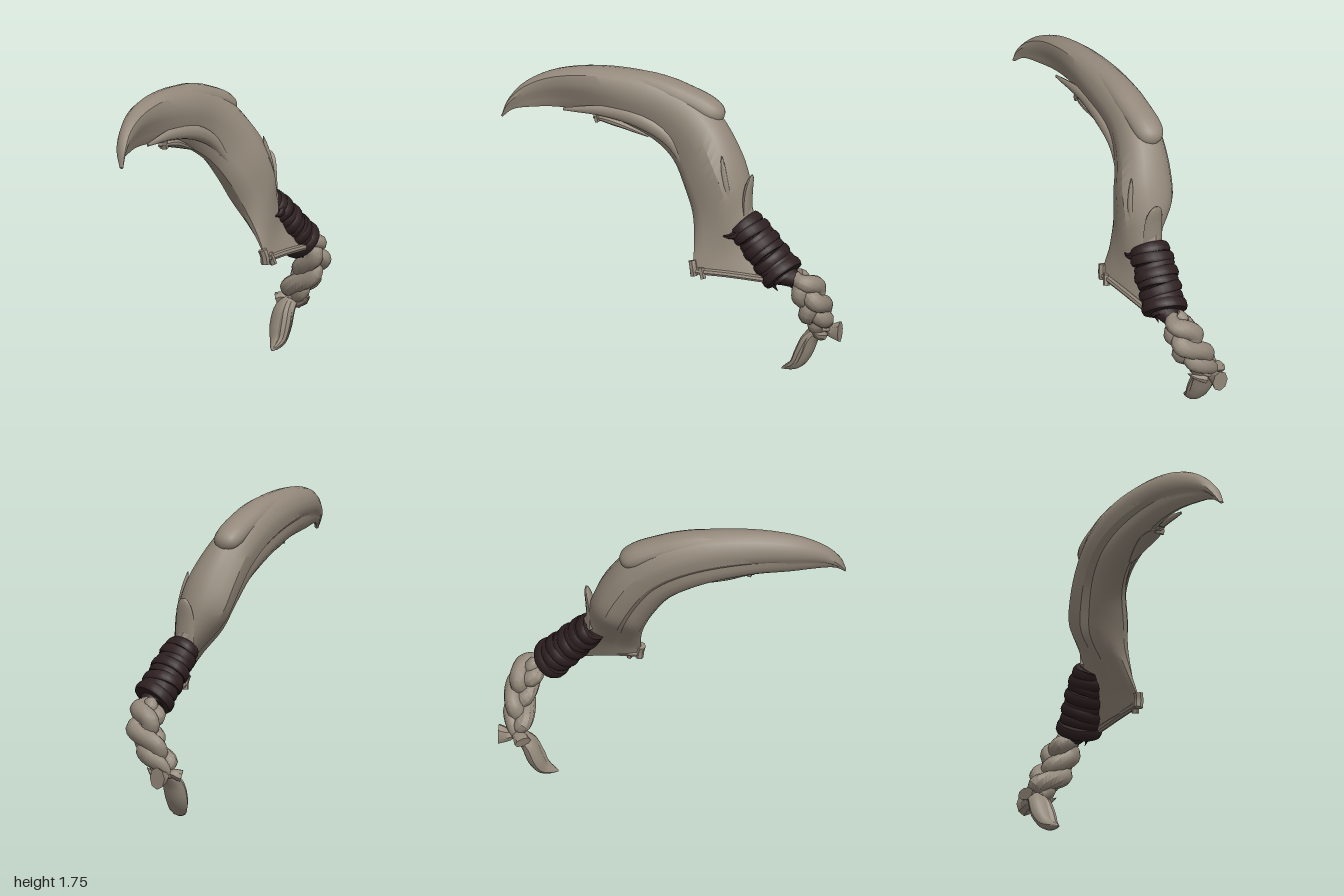
import * as THREE from 'three';
import { toCreasedNormals } from 'three/addons/utils/BufferGeometryUtils.js';

const V = (x, y, z) => new THREE.Vector3(x, y, z);
const curve = (pts) => new THREE.CatmullRomCurve3(pts.map((p) => V(...p)), false, 'catmullrom', 0.5);

// Closed solid through a list of rings; turned outward by its signed volume
function loft(rings, crease = 0.7) {
  const n = rings[0].length, pos = [], idx = [];
  const all = rings.flat();
  const mid = (r) => r.reduce((s, p) => s.add(p), V(0, 0, 0)).divideScalar(n);
  const a = all.length, b = a + 1;
  all.push(mid(rings[0]), mid(rings[rings.length - 1]));
  all.forEach((p) => pos.push(p.x, p.y, p.z));
  for (let i = 0; i < rings.length - 1; i++) {
    for (let j = 0; j < n; j++) {
      const p = i * n + j, q = i * n + (j + 1) % n;
      idx.push(p, q, q + n, p, q + n, p + n);
    }
  }
  const last = (rings.length - 1) * n;
  for (let j = 0; j < n; j++) {
    const k = (j + 1) % n;
    idx.push(a, k, j, b, last + j, last + k);
  }
  let volume = 0;
  for (let i = 0; i < idx.length; i += 3) {
    volume += all[idx[i]].dot(V(0, 0, 0).crossVectors(all[idx[i + 1]], all[idx[i + 2]]));
  }
  if (volume < 0) idx.reverse();
  const g = new THREE.BufferGeometry();
  g.setAttribute('position', new THREE.Float32BufferAttribute(pos, 3));
  g.setIndex(idx);
  return toCreasedNormals(g, crease);
}

// Tapered strand: oval section, width and depth given by profile(t) = [side, normal]
function strand(path, profile, normal = V(0, 0, 1), steps = 14, sides = 10) {
  const rings = [];
  for (let i = 0; i <= steps; i++) {
    const t = i / steps, c = path.getPoint(t), tan = path.getTangent(t);
    const side = V(0, 0, 0).crossVectors(tan, normal).normalize();
    const up = V(0, 0, 0).crossVectors(side, tan).normalize();
    const [s, d] = profile(t);
    rings.push(Array.from({ length: sides }, (_, j) => {
      const a = j / sides * Math.PI * 2;
      return c.clone().addScaledVector(side, s * Math.cos(a)).addScaledVector(up, d * Math.sin(a));
    }));
  }
  return loft(rings);
}

export function createModel() {
  const group = new THREE.Group();
  const horn = new THREE.MeshStandardMaterial({ color: 0x93887a });
  horn.name = 'horn';
  const leather = new THREE.MeshStandardMaterial({ color: 0x2d1f20 });
  leather.name = 'dark leather';
  const add = (name, geo, mat = horn, parent = group) => {
    const m = new THREE.Mesh(geo, mat);
    m.name = name;
    parent.add(m);
    return m;
  };

  // Blade stations: outer x, y, z, inner x, y, z, half thickness
  const stations = [
    [-1, 1.43, 0.05, -0.995, 1.42, 0.05, 0.014],
    [-0.965, 1.53, 0.02, -0.94, 1.463, 0.025, 0.038],
    [-0.87, 1.635, -0.02, -0.85, 1.476, -0.005, 0.052],
    [-0.7, 1.715, -0.06, -0.7, 1.478, -0.05, 0.075],
    [-0.45, 1.752, -0.09, -0.5, 1.462, -0.08, 0.097],
    [-0.15, 1.737, -0.11, -0.28, 1.41, -0.1, 0.115],
    [0.1, 1.658, -0.115, -0.12, 1.345, -0.1, 0.124],
    [0.27, 1.53, -0.09, 0.01, 1.25, -0.07, 0.142],
    [0.39, 1.36, -0.055, 0.1, 1.11, -0.015, 0.166],
    [0.46, 1.2, -0.035, 0.16, 0.98, 0.03, 0.158],
    [0.5, 1.04, 0.01, 0.19, 0.85, 0.105, 0.095],
    [0.58, 0.86, 0.06, 0.2, 0.73, 0.17, 0.035],
    [0.62, 0.67, 0.15, 0.2, 0.665, 0.19, 0.015],
  ];
  const outer = curve(stations.map((s) => s.slice(0, 3)));
  const inner = curve(stations.map((s) => s.slice(3, 6)));
  const half = curve(stations.map((s) => [s[6], 0, 0]));
  // Section: distance from outer to inner edge, depth, and depth near the hollowed tip
  const section = [
    [0, 0, 0], [0.03, 0.38, 0.42], [0.12, 0.72, 0.75], [0.3, 0.98, 0.8], [0.5, 0.95, 0.55],
    [0.66, 0.8, 0.32], [0.8, 0.68, 0.14], [0.93, 0.5, 0.02], [1, 0.25, -0.1], [1, -0.06, -0.25],
    [0.94, -0.36, -0.4], [0.84, -0.58, -0.58], [0.74, -0.66, -0.66], [0.64, -0.66, -0.7],
    [0.56, -0.9, -0.9], [0.42, -0.98, -0.98], [0.28, -0.98, -0.98], [0.12, -0.72, -0.72], [0.03, -0.38, -0.38],
  ];
  const rings = [];
  for (let i = 0; i <= 48; i++) {
    const t = i / 48, o = outer.getPoint(t), n = inner.getPoint(t), h = half.getPoint(t).x;
    const tip = 1 - THREE.MathUtils.smoothstep(t, 0.24, 0.42);
    rings.push(section.map(([u, w, wTip]) => {
      const p = o.clone().lerp(n, u);
      p.z += h * THREE.MathUtils.lerp(w, wTip, tip);
      return p;
    }));
  }
  add('blade', loft(rings, 0.55));

  // Raised shell along the spine, ending in a rounded step
  add('spineShell', strand(
    curve([[-0.72, 1.65, -0.06], [-0.45, 1.69, -0.09], [-0.15, 1.678, -0.11], [0.1, 1.605, -0.115], [0.22, 1.55, -0.115], [0.285, 1.508, -0.11]]),
    (t) => {
      const end = Math.sqrt(1 - Math.pow(Math.max(0, (t - 0.7) / 0.302), 2));
      const r = end * (0.5 + 0.5 * Math.min(1, t * 2));
      return [0.064 * r + 0.004, 0.085 * r + 0.005];
    }, V(0, 0, 1), 32, 16));

  // Folds on the front face and a ragged ledge on the inner edge
  const taper = (s, d) => (t) => { const r = Math.sin(Math.PI * (0.06 + 0.88 * t)); return [s * r, d * r]; };
  add('frontFold', strand(curve([[-0.65, 1.485, -0.02], [-0.4, 1.5, -0.03], [-0.18, 1.47, -0.02], [0, 1.37, -0.01], [0.12, 1.2, 0.03]]), taper(0.045, 0.032)));
  add('innerLedge', strand(curve([[-0.48, 1.44, -0.06], [-0.4, 1.447, -0.06], [-0.3, 1.42, -0.07], [-0.15, 1.36, -0.07]]), taper(0.028, 0.05)));
  add('ledgeKnob', strand(curve([[-0.46, 1.465, -0.05], [-0.45, 1.425, -0.05]]), () => [0.018, 0.03], V(0, 0, 1), 2, 6));

  // Upright splinters beside the wrap
  const leaf = (s, d) => (t) => { const r = Math.sqrt(1 - Math.pow(t * 0.99, 3)); return [s * r, d * r]; };
  add('outerSplinter', strand(curve([[0.475, 0.97, 0.02], [0.478, 1.12, 0.015], [0.5, 1.235, 0.01]]), leaf(0.064, 0.026), V(1, 0, 0)));
  add('frontSplinter', strand(curve([[0.41, 1.0, 0.09], [0.375, 1.18, 0.107], [0.34, 1.36, 0.08]]), leaf(0.02, 0.018)));

  // Rolled rim and knobs on the lower edge of the plate
  add('plateRim', strand(curve([[0.2, 0.67, 0.19], [0.4, 0.672, 0.18], [0.63, 0.66, 0.16]]), () => [0.02, 0.022], V(0, 0, 1), 8, 8));
  add('plateKnob', strand(curve([[0.195, 0.73, 0.18], [0.205, 0.69, 0.19], [0.21, 0.645, 0.19]]), () => [0.024, 0.028], V(0, 0, 1), 5, 7));
  add('plateKnob', strand(curve([[0.25, 0.7, 0.19], [0.27, 0.635, 0.205]]), () => [0.018, 0.022], V(0, 0, 1), 3, 6));

  // Leather wrap: overlapping, slightly tilted bands around a core, flaring at the lower end
  const wrap = new THREE.Group();
  wrap.name = 'wrap';
  const top = V(0.468, 0.94, 0.035), end = V(0.71, 0.672, 0.08);
  wrap.position.copy(top);
  wrap.quaternion.setFromUnitVectors(V(0, 1, 0), end.clone().sub(top).normalize());
  group.add(wrap);
  const length = top.distanceTo(end);
  const radii = [0.09, 0.101, 0.098, 0.108, 0.102, 0.112, 0.108, 0.12];
  const core = add('wrapCore', new THREE.CylinderGeometry(0.07, 0.088, length + 0.04, 20), leather, wrap);
  core.position.y = length / 2 + 0.01;
  core.scale.z = 1.2;
  radii.forEach((r, i) => {
    const t = i / (radii.length - 1);
    const profile = [[0.06, -0.034], [r - 0.008, -0.03], [r, -0.014], [r + 0.002, 0.012], [r - 0.005, 0.03], [0.06, 0.034]]
      .map((p) => new THREE.Vector2(...p));
    const band = add('wrapBand', toCreasedNormals(new THREE.LatheGeometry(profile, 24), 0.6), leather, wrap);
    band.position.y = 0.015 + t * (length - 0.03);
    band.rotation.set(0.12 * Math.sin(i * 2.1), 0, 0.14 * Math.cos(i * 1.7));
    band.scale.z = 1.27 - 0.17 * t;
  });
  // Loose ends of the wrap
  const point = (s, d) => (t) => [s * (1.03 - t), d * (1.03 - t)];
  add('wrapEnd', strand(curve([[0.47, 0.92, 0.12], [0.415, 0.893, 0.145], [0.355, 0.89, 0.14]]), point(0.033, 0.028), V(0, 0, 1), 5, 6), leather);
  add('wrapEnd', strand(curve([[0.63, 0.65, 0.1], [0.66, 0.61, 0.11], [0.69, 0.575, 0.11]]), point(0.03, 0.02), V(0, 0, 1), 5, 6), leather);
  add('wrapNeck', strand(curve([[0.7, 0.68, 0.08], [0.79, 0.645, 0.08]]), (t) => [0.085 - 0.04 * t, 0.09 - 0.04 * t], V(0, 0, 1), 4, 12), leather);

  // Three-strand braid hanging from the wrap
  const centre = curve([[0.78, 0.665, 0.075], [0.842, 0.59, 0.045], [0.876, 0.49, 0.03], [0.882, 0.39, -0.04], [0.89, 0.27, -0.11]]);
  for (let k = 0; k < 3; k++) {
    const pts = [];
    for (let i = 0; i <= 24; i++) {
      const t = i / 24, c = centre.getPoint(t);
      const a = t * Math.PI * 2.1 + k * Math.PI * 2 / 3;
      const s = Math.min(1, 0.45 + t * 2.5, 0.3 + (1 - t) * 4);
      pts.push([c.x + 0.042 * s * Math.sin(a), c.y + 0.02 * s * Math.sin(a), c.z + 0.05 * s * Math.sin(2 * a)]);
    }
    add('braidStrand', strand(curve(pts), (t) => {
      const r = Math.min(0.052, 0.034 + t * 0.1, 0.028 + (1 - t) * 0.15);
      return [r, r * 1.08];
    }, V(0, 0, 1), 36, 10));
  }

  // Tie, flared tufts and curled tail at the end of the braid
  const tie = add('braidTie', new THREE.TorusGeometry(0.04, 0.016, 8, 16));
  tie.position.set(0.888, 0.28, -0.105);
  tie.rotation.x = Math.PI / 2 - 0.3;
  const flare = (w) => (t) => [0.02 + w * t, 0.03 + 0.02 * t];
  add('tuft', strand(curve([[0.89, 0.275, -0.11], [0.94, 0.265, -0.12], [0.992, 0.265, -0.12]]), flare(0.045), V(0, 0, 1), 5, 8));
  add('tuft', strand(curve([[0.89, 0.27, -0.11], [0.87, 0.28, -0.15], [0.845, 0.265, -0.195]]), flare(0.015), V(1, 0, 0), 5, 8));
  add('tuft', strand(curve([[0.89, 0.25, -0.08], [0.88, 0.27, -0.02], [0.87, 0.3, 0.025]]), point(0.035, 0.04), V(1, 0, 0), 5, 8));
  const tail = [[0.89, 0.285, -0.11], [0.82, 0.215, -0.12], [0.78, 0.12, -0.12], [0.735, 0.045, -0.105], [0.65, 0.008, -0.085]];
  const swell = (s, d) => (t) => { const r = Math.pow(Math.sin(Math.PI * (0.16 + 0.83 * t)), 0.75); return [s * r, d * r]; };
  add('tail', strand(curve(tail), swell(0.048, 0.072), V(0, 0, 1), 18, 12));
  add('tailLock', strand(curve(tail.map(([x, y, z], i) => [x - 0.016 * Math.sin(i * 0.785), y + 0.01 * Math.sin(i * 0.785), z + 0.04 * Math.sin(i * 0.785)])), swell(0.034, 0.036), V(0, 0, 1), 18, 8));
  return group;
}
